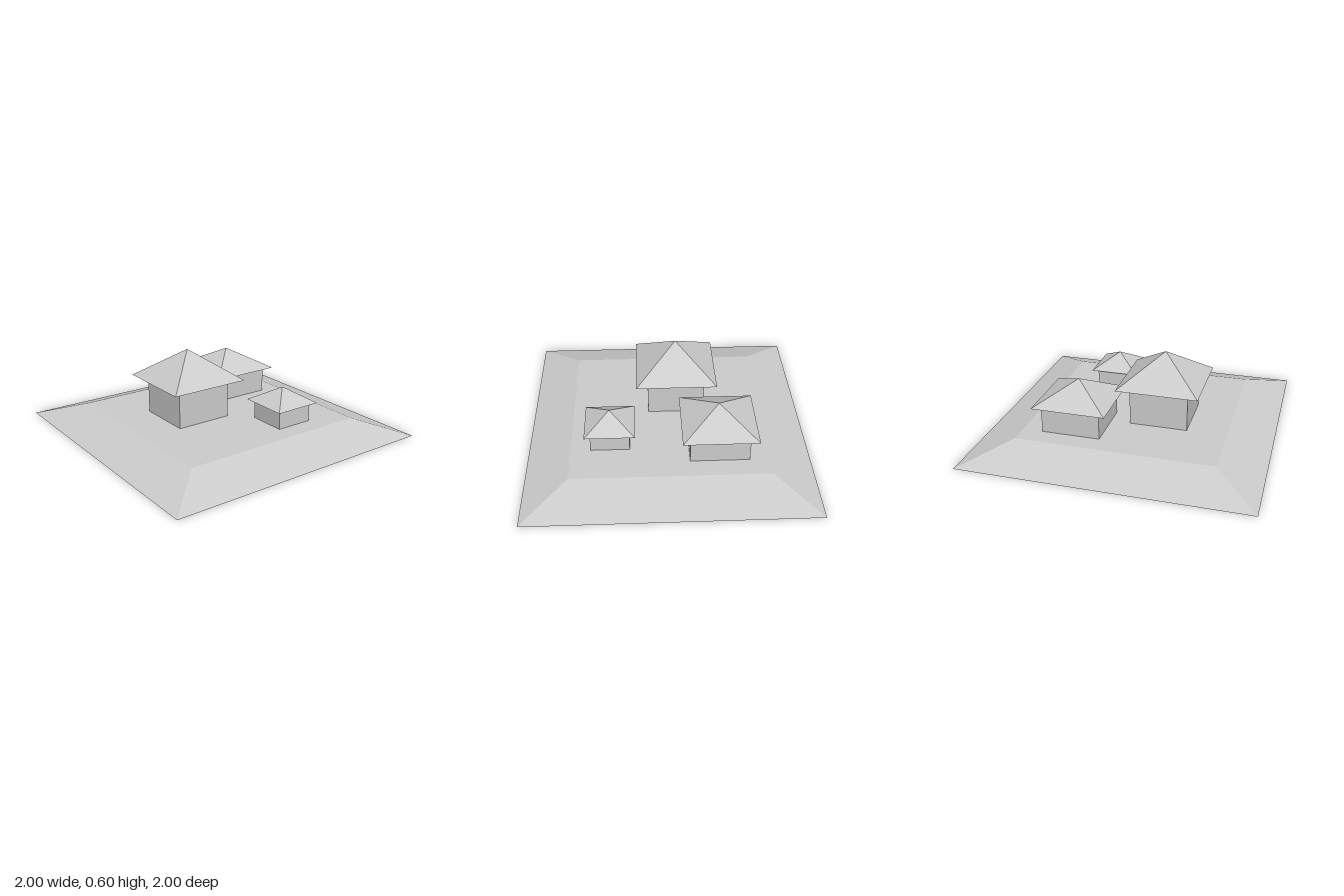
import * as THREE from 'three';

const material = new THREE.MeshStandardMaterial({ color: 0xcccccc, flatShading: true });

// Square frustum standing on y = bottom; a top half-width of 0 makes a pyramid
function frustum(name, topHalf, bottomHalf, bottom, top) {
  const geometry = new THREE.CylinderGeometry(
    topHalf * Math.SQRT2, bottomHalf * Math.SQRT2, top - bottom, 4, 1);
  geometry.rotateY(Math.PI / 4);
  geometry.translate(0, (top + bottom) / 2, 0);
  const mesh = new THREE.Mesh(geometry, material);
  mesh.name = name;
  return mesh;
}

const GROUND = 0.11;

// Square hut: box walls under an overhanging pyramid roof
function hut({ name, x, z, wall, eave, eaveY, peakY }) {
  const group = new THREE.Group();
  group.name = name;
  group.position.set(x, 0, z);

  const walls = new THREE.Mesh(
    new THREE.BoxGeometry(wall * 2, eaveY - GROUND, wall * 2), material);
  walls.name = 'walls';
  walls.position.y = (eaveY + GROUND) / 2;

  group.add(walls, frustum('roof', 0, eave, eaveY, peakY));
  return group;
}

export function createModel() {
  const model = new THREE.Group();
  model.name = 'village';

  // Sloped mound
  model.add(frustum('mound', 0.69, 1, 0, GROUND));

  // Three huts of different sizes
  const huts = [
    { name: 'tallHut', x: -0.207, z: -0.068, wall: 0.205, eave: 0.289, eaveY: 0.387, peakY: 0.6 },
    { name: 'wideHut', x: 0.341, z: -0.344, wall: 0.206, eave: 0.26, eaveY: 0.302, peakY: 0.447 },
    { name: 'smallHut', x: 0.273, z: 0.412, wall: 0.137, eave: 0.175, eaveY: 0.247, peakY: 0.355 },
  ];
  for (const spec of huts) model.add(hut(spec));

  return model;
}
